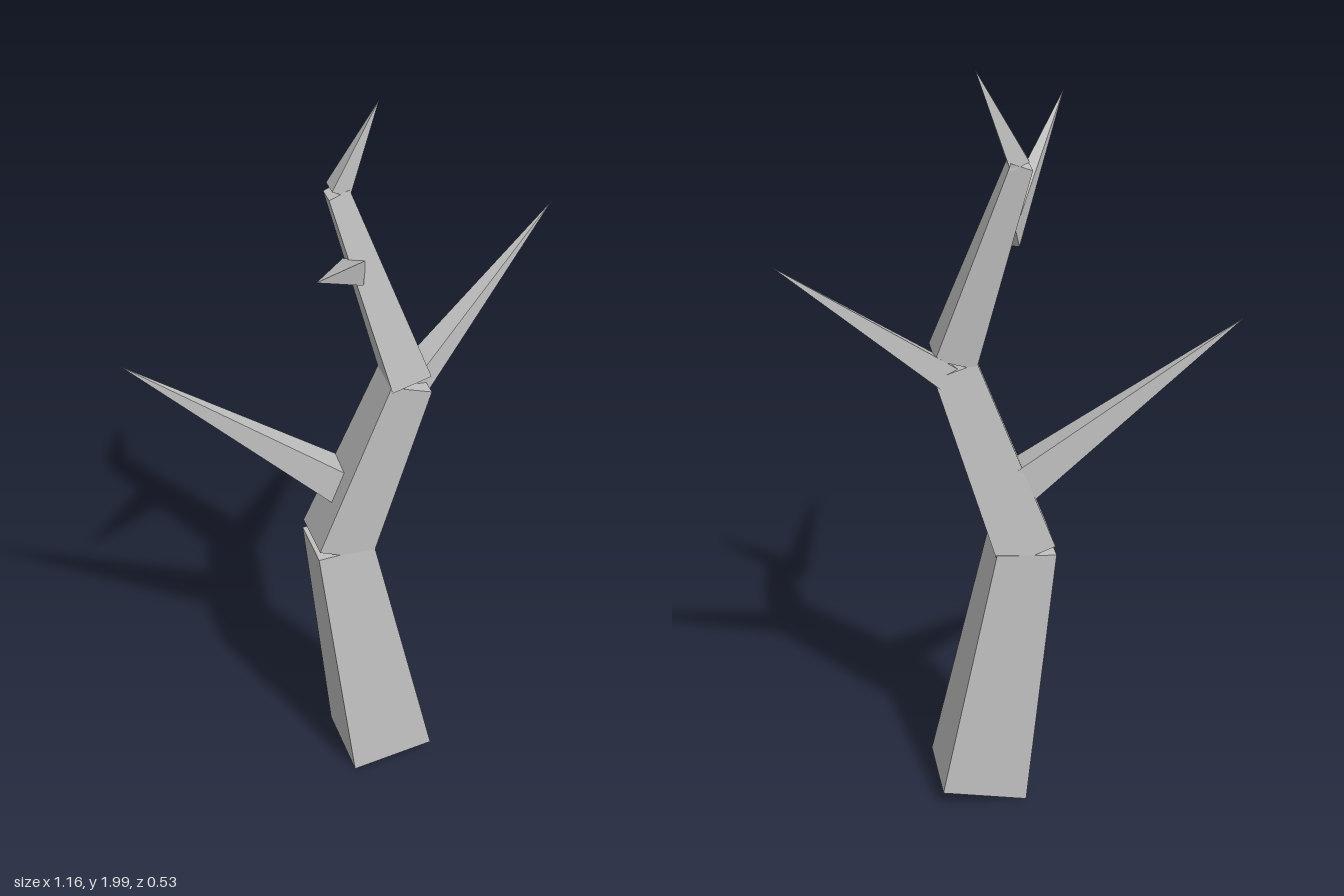
import * as THREE from 'three';

const V = (x, y, z) => new THREE.Vector3(x, y, z);

// Closed solid from a four-cornered base ring to a top ring, or to a single tip point
function loft(base, top) {
  const tris = [];
  const quad = (a, b, c, d) => tris.push(a, b, c, a, c, d);
  for (let i = 0; i < 4; i++) {
    const j = (i + 1) % 4;
    if (top.length === 1) tris.push(base[i], base[j], top[0]);
    else quad(base[i], base[j], top[j], top[i]);
  }
  quad(base[3], base[2], base[1], base[0]);
  if (top.length === 4) quad(...top);
  const geo = new THREE.BufferGeometry().setFromPoints(tris);
  geo.computeVertexNormals();
  return geo;
}

// Tilted rectangular ring: left edge, right edge, front and back depth
const ring = (xl, yl, xr, yr, zf, zb) =>
  [V(xl, yl, zf), V(xr, yr, zf), V(xr, yr, zb), V(xl, yl, zb)];

// Square-based spike from a base centre to a tip
function spike(centre, tip, halfWidth, halfHeight) {
  const d = tip.clone().sub(centre).normalize();
  const s = V(0, 1, 0).cross(d).normalize();
  const u = d.clone().cross(s);
  const base = [[-1, -1], [1, -1], [1, 1], [-1, 1]].map(([a, b]) =>
    centre.clone().addScaledVector(s, a * halfWidth).addScaledVector(u, b * halfHeight));
  return loft(base, [tip]);
}

export function createModel() {
  const group = new THREE.Group();
  group.name = 'bareTree';
  const bark = new THREE.MeshStandardMaterial({ color: 0xc0c0c0 });
  bark.name = 'greyBark';

  const add = (name, geo) => {
    const mesh = new THREE.Mesh(geo, bark);
    mesh.name = name;
    group.add(mesh);
  };

  // Kinked trunk, each piece slightly overlapping the next
  add('lowerTrunk', loft(
    ring(-0.04, 0.005, 0.18, 0.045, 0, -0.225),
    ring(-0.118, 0.72, 0.035, 0.73, -0.06, -0.21)));
  add('middleTrunk', loft(
    ring(-0.115, 0.745, 0.027, 0.69, -0.06, -0.21),
    ring(0.075, 1.24, 0.183, 1.205, -0.045, -0.155)));
  add('upperTrunk', loft(
    ring(0.077, 1.225, 0.18, 1.255, -0.042, -0.155),
    ring(-0.053, 1.75, 0, 1.77, -0.15, -0.2)));
  add('crownTip', loft(
    ring(-0.045, 1.772, 0, 1.75, -0.15, -0.2),
    [V(0.08, 1.995, -0.167)]));

  // Side branches
  add('rightBranch', spike(V(-0.03, 0.9, -0.145), V(-0.582, 1.34, -0.205), 0.044, 0.047));
  add('leftBranch', spike(V(0.155, 1.2, -0.118), V(0.577, 1.57, -0.265), 0.037, 0.033));
  add('frontBranch', spike(V(-0.002, 1.555, -0.12), V(-0.212, 1.797, 0.265), 0.029, 0.031));

  return group;
}
